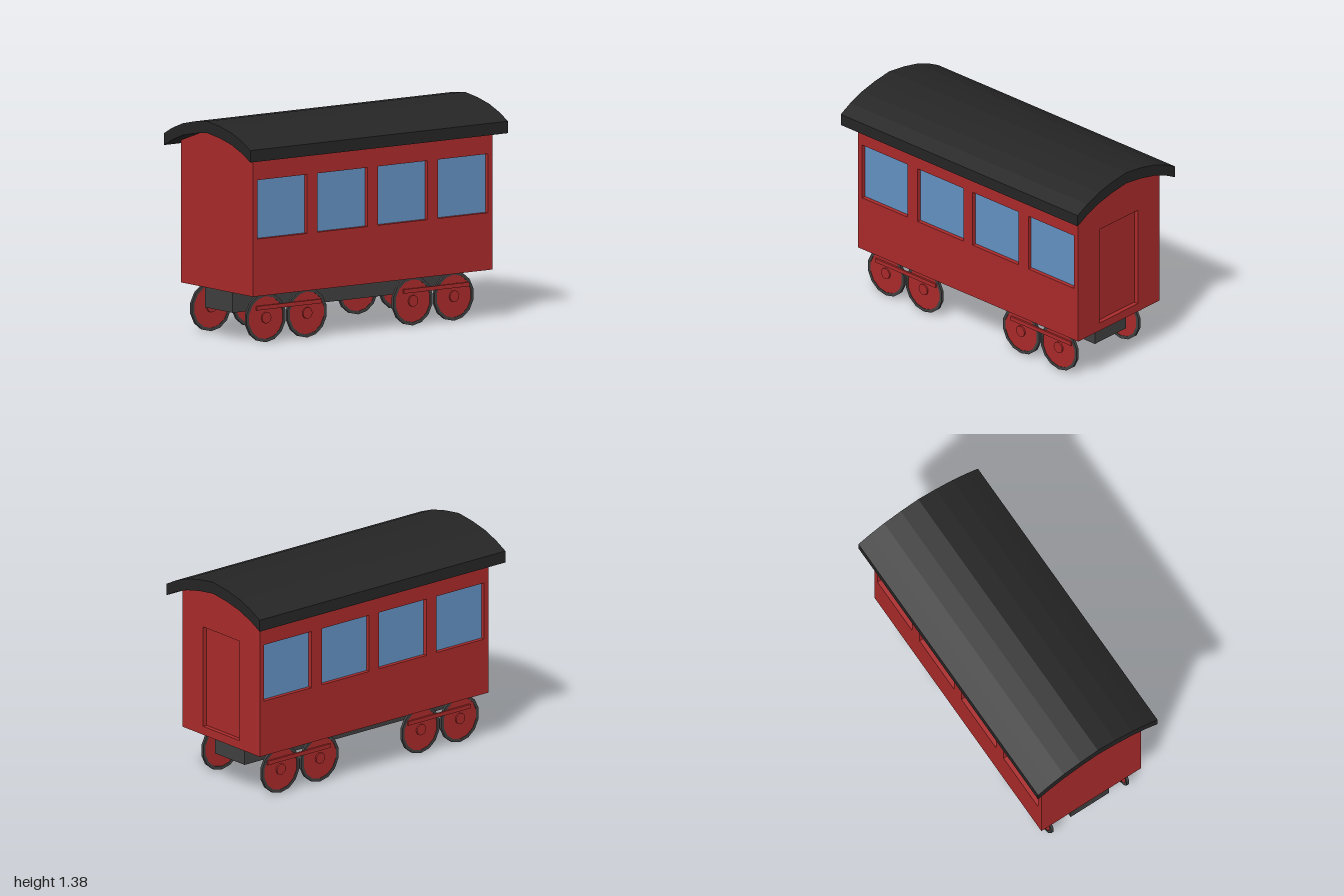
import * as THREE from 'three';

const mat = (color) => new THREE.MeshStandardMaterial({ color, flatShading: true });

export function createModel() {
  const model = new THREE.Group();
  const red = mat(0xaa2a2a), black = mat(0x252525), grey = mat(0x404040), blue = mat(0x6291c2);

  const add = (name, geometry, material, parent = model) => {
    const mesh = new THREE.Mesh(geometry, material);
    mesh.name = name;
    parent.add(mesh);
    return mesh;
  };
  const box = (name, x0, x1, y0, y1, z0, z1, material, parent) =>
    add(name, new THREE.BoxGeometry(x1 - x0, y1 - y0, z1 - z0), material, parent)
      .position.set((x0 + x1) / 2, (y0 + y1) / 2, (z0 + z1) / 2);
  const polygon = (points) => new THREE.Shape(points.map(([x, y]) => new THREE.Vector2(x, y)));
  const rect = (x0, x1, y0, y1) => polygon([[x0, y0], [x1, y0], [x1, y1], [x0, y1]]);
  // Extrude a shape from z0 to z1
  const slab = (shape, z0, z1) =>
    new THREE.ExtrudeGeometry(shape, { depth: z1 - z0, bevelEnabled: false }).translate(0, 0, z0);
  const mirrored = (half) => [...half, ...half.filter(([x]) => x > 0).reverse().map(([x, y]) => [-x, y])];

  // Body: solid core, plain front plate, back plate with a recessed door
  const HALF = 0.372, FLOOR = 0.31, RECESS = 0.03;
  const endProfile = (half, eave) =>
    polygon(mirrored([[half, FLOOR], [half, eave], [0.19, 1.268], [0.13, 1.283], [0, 1.3]]));
  add('bodyCore', slab(endProfile(HALF - RECESS, 1.215), -0.905, 0.905), red);
  add('frontWall', slab(endProfile(HALF, 1.205), 0.905, 0.925), red);
  const back = endProfile(HALF, 1.205);
  back.holes.push(rect(-0.175, 0.175, 0.365, 1.02));
  add('backWall', slab(back, -0.935, -0.905), red);

  // Side walls with four window openings each, and the glass set into them
  const windows = [0.697, 0.228, -0.238, -0.707];
  for (const side of [1, -1]) {
    const wall = rect(-0.905, 0.905, FLOOR, 1.205);
    for (const z of windows) {
      wall.holes.push(rect(z - 0.193, z + 0.193, 0.67, 1.04));
      box('windowGlass', side * 0.343 - 0.002, side * 0.343 + 0.002, 0.67, 1.04, z - 0.193, z + 0.193, blue);
    }
    const x0 = side > 0 ? HALF - RECESS : -HALF;
    add('sideWall', slab(wall, -x0 - RECESS, -x0).rotateY(-Math.PI / 2), red);
  }

  // Curved roof slab
  const arc = [[0.447, 1.245], [0.36, 1.29], [0.255, 1.33], [0.13, 1.358], [0, 1.375]];
  const top = mirrored(arc);
  const under = top.map(([x, y]) => [x, y - 0.075]).reverse();
  add('roof', slab(polygon([...top, ...under]), -1, 1), black);

  // Chassis beam under the floor
  box('chassis', -0.143, 0.143, 0.18, FLOOR, -0.865, 0.91, grey);

  // Wheels in pairs, each pair joined by a rod on the outside
  const SIDES = 14, R = 0.155;
  const ring = (radius) => Array.from({ length: SIDES }, (_, i) => {
    const a = (i / SIDES) * Math.PI * 2 - Math.PI / 2;
    return [Math.cos(a) * radius, Math.sin(a) * radius];
  });
  const rimShape = polygon(ring(R));
  rimShape.holes.push(polygon(ring(0.135)));
  const rim = slab(rimShape, -0.009, 0.009).rotateY(Math.PI / 2);
  const disc = slab(polygon(ring(0.135)), -0.006, 0.006).rotateY(Math.PI / 2);
  const hub = new THREE.CylinderGeometry(0.036, 0.036, 0.032, 14).rotateZ(Math.PI / 2);

  for (const side of [1, -1]) {
    for (const [za, zb, r0, r1] of [[0.762, 0.443, 0.335, 0.84], [-0.378, -0.697, -0.81, -0.3]]) {
      for (const z of [za, zb]) {
        const wheel = new THREE.Group();
        wheel.name = 'wheel';
        wheel.position.set(side * 0.283, R, z);
        add('wheelRim', rim, grey, wheel);
        add('wheelDisc', disc, red, wheel);
        add('wheelHub', hub, red, wheel);
        model.add(wheel);
      }
      box('couplingRod', side * 0.297 - 0.006, side * 0.297 + 0.006, 0.208, 0.234, r0, r1, red);
    }
  }
  return model;
}
